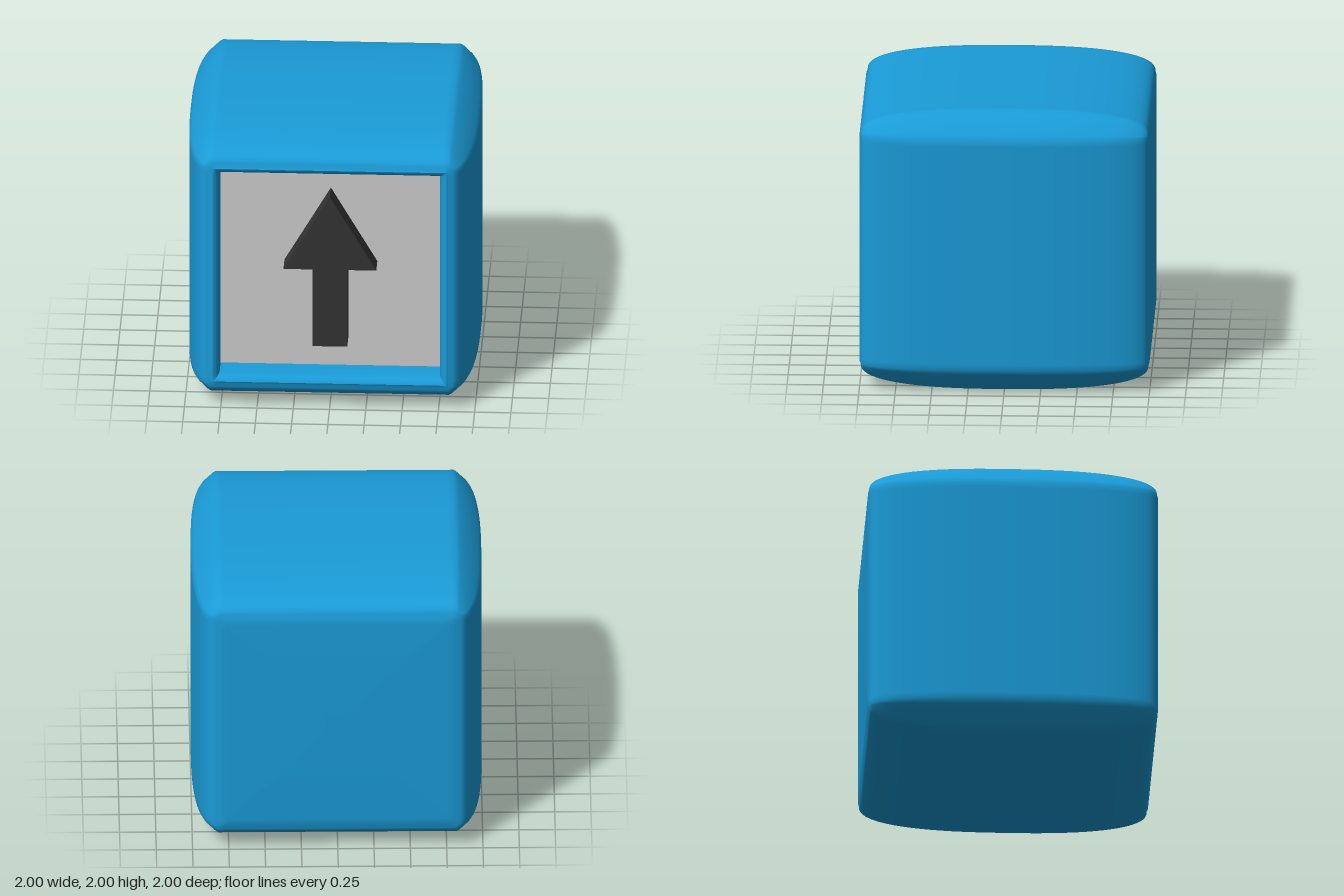
import * as THREE from 'three';
import { toCreasedNormals } from 'three/addons/utils/BufferGeometryUtils.js';

const FLAT = 0.82; // half-width of the flat part of each side
const PANEL_Z = 0.78;

// Square cross-section of half-size r; corners are cut where it bulges past FLAT.
function section(r, z) {
  const c = Math.min(r, FLAT), d = r - c, points = [];
  const corner = [
    [r, c * 0.95], [r, c], [r - 0.12 * d, c + 0.2 * d],
    [c + 0.2 * d, r - 0.12 * d], [c, r], [c * 0.95, r],
  ];
  for (let k = 0; k < 4; k++) {
    for (const [x, y] of corner) {
      const p = [[x, y], [-y, x], [-x, -y], [y, -x]][k];
      points.push(new THREE.Vector3(p[0], p[1] + 1, z));
    }
  }
  return points;
}

// Skin the sections, which run from the back to the front.
function loft(rings) {
  const pos = [];
  const tri = new THREE.Triangle();
  const add = (a, b, c) => {
    if (tri.set(a, b, c).getArea() > 1e-8) {
      for (const v of [a, b, c]) pos.push(v.x, v.y, v.z);
    }
  };
  for (let i = 0; i < rings.length - 1; i++) {
    const n = rings[i].length;
    for (let j = 0; j < n; j++) {
      const k = (j + 1) % n;
      add(rings[i][j], rings[i][k], rings[i + 1][k]);
      add(rings[i][j], rings[i + 1][k], rings[i + 1][j]);
    }
  }
  const geometry = new THREE.BufferGeometry();
  geometry.setAttribute('position', new THREE.Float32BufferAttribute(pos, 3));
  return toCreasedNormals(geometry, 0.7);
}

export function createModel() {
  const model = new THREE.Group();
  const add = (name, geometry, color) => {
    const mesh = new THREE.Mesh(geometry, new THREE.MeshStandardMaterial({ color }));
    mesh.name = name;
    model.add(mesh);
    return mesh;
  };

  // Housing: flat back, bulging sides, rounded rim and recess walls
  const profile = [[0, -1], [0.76, -1], [0.805, -0.998]];
  const steps = 36;
  for (let i = 0; i <= steps; i++) {
    const a = Math.PI * i / steps;
    const z = -Math.sign(Math.cos(a)) * Math.pow(Math.abs(Math.cos(a)), 0.8);
    profile.push([FLAT + 0.18 * Math.pow(Math.sin(a), 0.8), z * 0.992]);
  }
  profile.push([0.805, 1], [0.785, 0.992], [0.77, 0.97], [0.76, 0.93], [0.76, 0.74]);
  add('housing', loft(profile.map(([r, z]) => section(r, z))), 0x1a9bd7);

  // Recessed front panel
  add('panel', new THREE.BoxGeometry(1.53, 1.53, 0.06), 0xcccccc)
    .position.set(0, 1, PANEL_Z - 0.03);

  // Raised arrow
  const outline = [
    [-0.12, 0.45], [0.12, 0.45], [0.12, 1.03], [0.32, 1.03],
    [0, 1.58], [-0.32, 1.03], [-0.12, 1.03],
  ];
  const shape = new THREE.Shape(outline.map(([x, y]) => new THREE.Vector2(x, y)));
  add('arrow', new THREE.ExtrudeGeometry(shape, { depth: 0.17, bevelEnabled: false }), 0x333333)
    .position.z = PANEL_Z - 0.01;

  return model;
}
